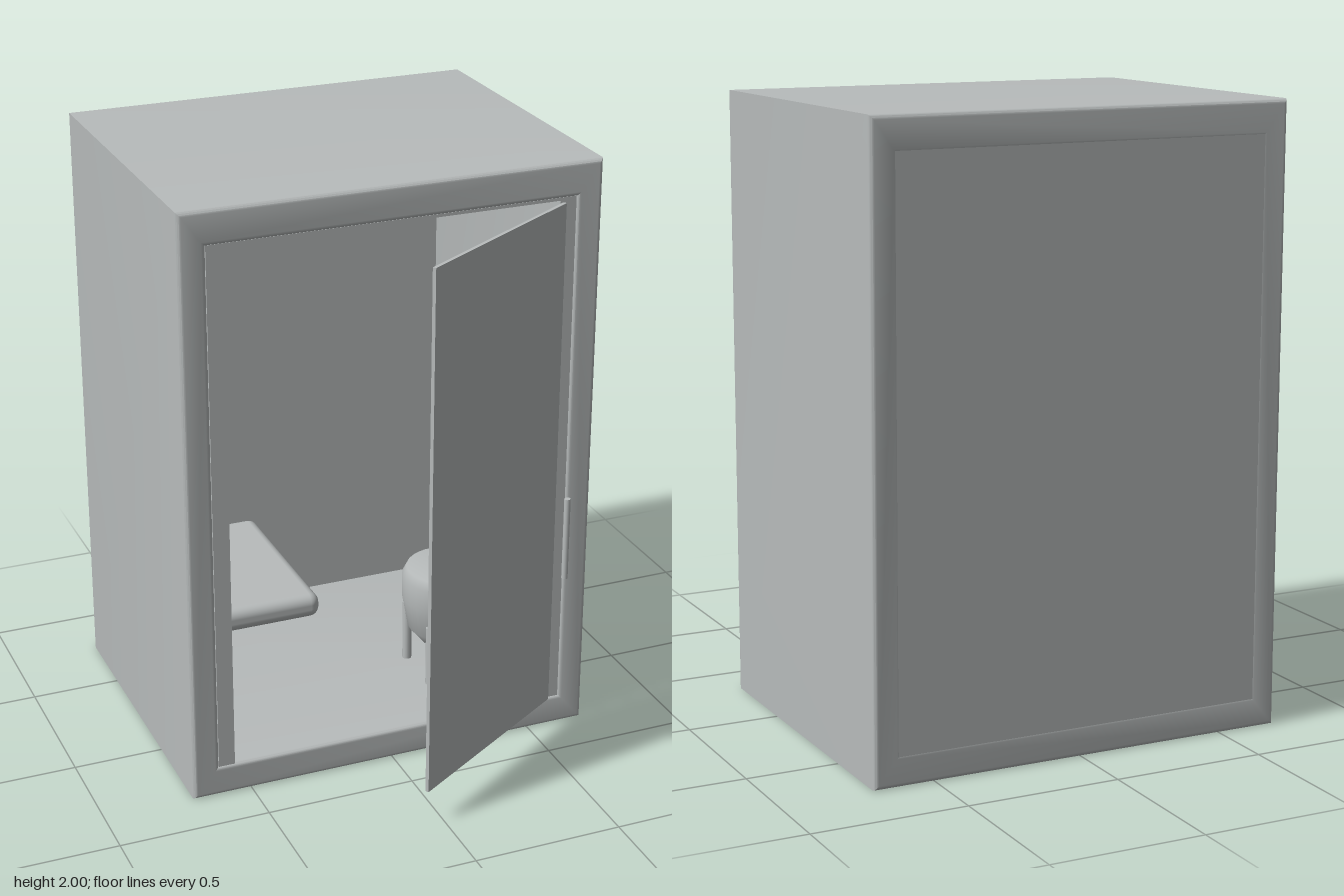
import * as THREE from 'three';
import { toCreasedNormals } from 'three/addons/utils/BufferGeometryUtils.js';
import { RoundedBoxGeometry } from 'three/addons/geometries/RoundedBoxGeometry.js';

export function createModel() {
  const model = new THREE.Group();
  const grey = new THREE.MeshStandardMaterial({ color: 0xb8bcbc });
  grey.name = 'light grey';

  const add = (name, geometry, x, y, z, parent = model) => {
    const mesh = new THREE.Mesh(geometry, grey);
    mesh.name = name;
    mesh.position.set(x, y, z);
    parent.add(mesh);
    return mesh;
  };
  const box = (w, h, d) => new THREE.BoxGeometry(w, h, d);
  const soft = (w, h, d, r) => new RoundedBoxGeometry(w, h, d, 4, r);

  // Booth shell: a softened rectangular tube running front to back
  const bevel = 0.015;
  const w = 0.7 - bevel, low = bevel, high = 2 - bevel;
  const outline = new THREE.Shape([
    new THREE.Vector2(-w, low), new THREE.Vector2(w, low),
    new THREE.Vector2(w, high), new THREE.Vector2(-w, high),
  ]);
  outline.holes.push(new THREE.Path([
    new THREE.Vector2(-0.625, 0.09), new THREE.Vector2(-0.625, 1.9),
    new THREE.Vector2(0.625, 1.9), new THREE.Vector2(0.625, 0.09),
  ]));
  const shell = new THREE.ExtrudeGeometry(outline, {
    depth: 1.115 - 2 * bevel, bevelSize: bevel, bevelThickness: bevel, bevelSegments: 4,
  });
  add('boothShell', toCreasedNormals(shell, 0.6), 0, 0, -0.775 + bevel);
  add('backPanel', box(1.25, 1.81, 0.054), 0, 0.995, -0.747);

  // Door frame
  for (const side of [-1, 1]) {
    add('doorJamb', box(0.055, 1.785, 0.05), side * 0.583, 0.995, 0.31);
  }
  add('doorHeader', box(1.2, 0.01, 0.05), 0, 1.883, 0.31);

  // Door standing open in front of the booth
  const door = add('door', box(0.72, 1.762, 0.012), 0.245, 1.004, 0.565);
  door.rotation.y = Math.atan2(0.38, 0.61);
  add('doorHandle', new THREE.CylinderGeometry(0.01, 0.01, 0.272, 16), 0.392, 0.938, 0.768);

  // Bench along the left wall
  add('benchSeat', soft(0.51, 0.085, 0.66, 0.035), -0.355, 0.398, -0.38);
  add('benchBack', soft(0.055, 0.43, 0.66, 0.02), -0.583, 0.655, -0.38);

  // Round chair facing the bench
  const chair = new THREE.Group();
  chair.name = 'chair';
  chair.position.set(0.35, 0, 0);
  model.add(chair);
  const bowl = [[0, 0.2], [0.09, 0.21], [0.14, 0.27], [0.16, 0.38], [0.16, 0.46], [0.145, 0.49], [0, 0.49]];
  const bowlCurve = new THREE.LatheGeometry(bowl.map(([r, y]) => new THREE.Vector2(r, y)), 32);
  add('chairSeat', bowlCurve, 0, 0, 0, chair);
  const back = new THREE.Shape();
  back.absarc(0, 0, 0.18, -1.1, 1.1, false);
  back.absarc(0, 0, 0.15, 1.1, -1.1, true);
  const backGeometry = toCreasedNormals(new THREE.ExtrudeGeometry(back, {
    depth: 0.45, bevelEnabled: false, curveSegments: 24,
  }), 0.6);
  add('chairBack', backGeometry, 0, 0.9, 0, chair).rotation.x = Math.PI / 2;
  for (const x of [-0.11, 0.08]) {
    for (const z of [-0.1, 0.1]) {
      add('chairLeg', new THREE.CylinderGeometry(0.016, 0.016, 0.22, 12), x, 0.21, z, chair);
    }
  }
  return model;
}
